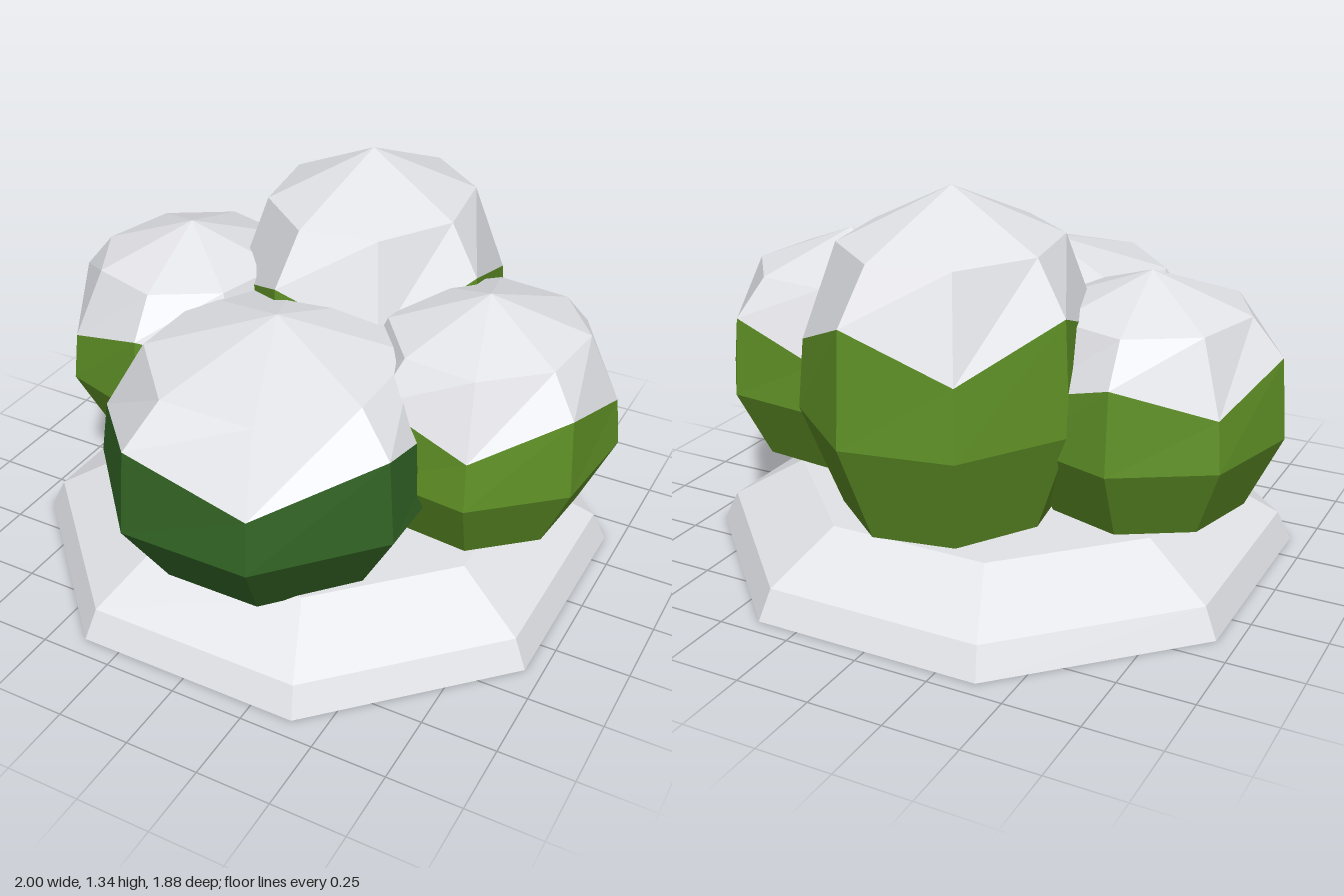
import * as THREE from 'three';

const SIDES = 8;
const snow = new THREE.MeshStandardMaterial({ name: 'snow', color: 0xe6e7eb, flatShading: true });
const leafGreen = new THREE.MeshStandardMaterial({ name: 'leaf green', color: 0x5f9026, flatShading: true });
const darkGreen = new THREE.MeshStandardMaterial({ name: 'dark green', color: 0x326324, flatShading: true });

// One ring of corners; y may be a function of the corner index.
function ring(rx, rz, y, phase) {
  return Array.from({ length: SIDES }, (_, i) => {
    const a = THREE.MathUtils.degToRad(phase) + (i * Math.PI * 2) / SIDES;
    return new THREE.Vector3(Math.cos(a) * rx, typeof y === 'function' ? y(i) : y, Math.sin(a) * rz);
  });
}

// Joins rings from bottom to top; optional points close the ends.
function loft(rings, bottom, top) {
  const points = [];
  const last = rings[rings.length - 1];
  for (let i = 0; i < SIDES; i++) {
    const j = (i + 1) % SIDES;
    for (let k = 0; k < rings.length - 1; k++) {
      const lo = rings[k], hi = rings[k + 1];
      points.push(lo[i], hi[i], lo[j], lo[j], hi[i], hi[j]);
    }
    if (bottom) points.push(bottom, rings[0][i], rings[0][j]);
    if (top) points.push(last[i], top, last[j]);
  }
  const geometry = new THREE.BufferGeometry().setFromPoints(points);
  geometry.computeVertexNormals();
  return geometry;
}

function addMesh(parent, name, geometry, material) {
  const mesh = new THREE.Mesh(geometry, material);
  mesh.name = name;
  parent.add(mesh);
}

// Faceted bush with a zigzag-edged snow cap.
function bush({ name, x, z, rx, rz, phase, y, material }) {
  const group = new THREE.Group();
  group.name = name;
  group.position.set(x, 0, z);
  const [base, middle, low, high, shoulder, peak] = y;
  const at = (ratio, height) => ring(rx * ratio, rz * ratio, height, phase);
  const snowLine = at(0.957, (i) => (i % 2 ? low : high));
  addMesh(group, name + 'Leaves',
    loft([at(0.74, base), at(1, middle), snowLine], new THREE.Vector3(0, base, 0)), material);
  addMesh(group, name + 'SnowCap',
    loft([snowLine, at(0.727, shoulder)], null, new THREE.Vector3(0, peak, 0)), snow);
  return group;
}

export function createModel() {
  const model = new THREE.Group();
  model.name = 'snowyBushes';

  // Bevelled snow mound
  const moundRings = [[1.017, 0], [0.968, 0.1], [0.72, 0.24]].map(([r, y]) => ring(r, r, y, 22.5));
  const mound = loft(moundRings, new THREE.Vector3(0, 0, 0), new THREE.Vector3(0, 0.24, 0));
  mound.translate(0.005, -0, -0.005);
  addMesh(model, 'snowMound', mound, snow);

  // Heights: base, widest ring, snow line low and high, shoulder, peak
  const sideHeights = [0.3, 0.545, 0.71, 0.815, 0.94, 1.06];
  [
    { name: 'frontBush', x: 0.003, z: 0.307, rx: 0.587, rz: 0.647, phase: 22.5,
      y: [0.225, 0.48, 0.66, 0.77, 0.895, 1.02], material: darkGreen },
    { name: 'leftBush', x: 0.57, z: -0.07, rx: 0.447, rz: 0.48, phase: 28, y: sideHeights, material: leafGreen },
    { name: 'rightBush', x: -0.555, z: -0.07, rx: 0.447, rz: 0.48, phase: 83, y: sideHeights, material: leafGreen },
    { name: 'backBush', x: 0, z: -0.365, rx: 0.48, rz: 0.54, phase: 13,
      y: [0.285, 0.625, 0.855, 1.0, 1.168, 1.335], material: leafGreen },
  ].forEach((spec) => model.add(bush(spec)));

  return model;
}
